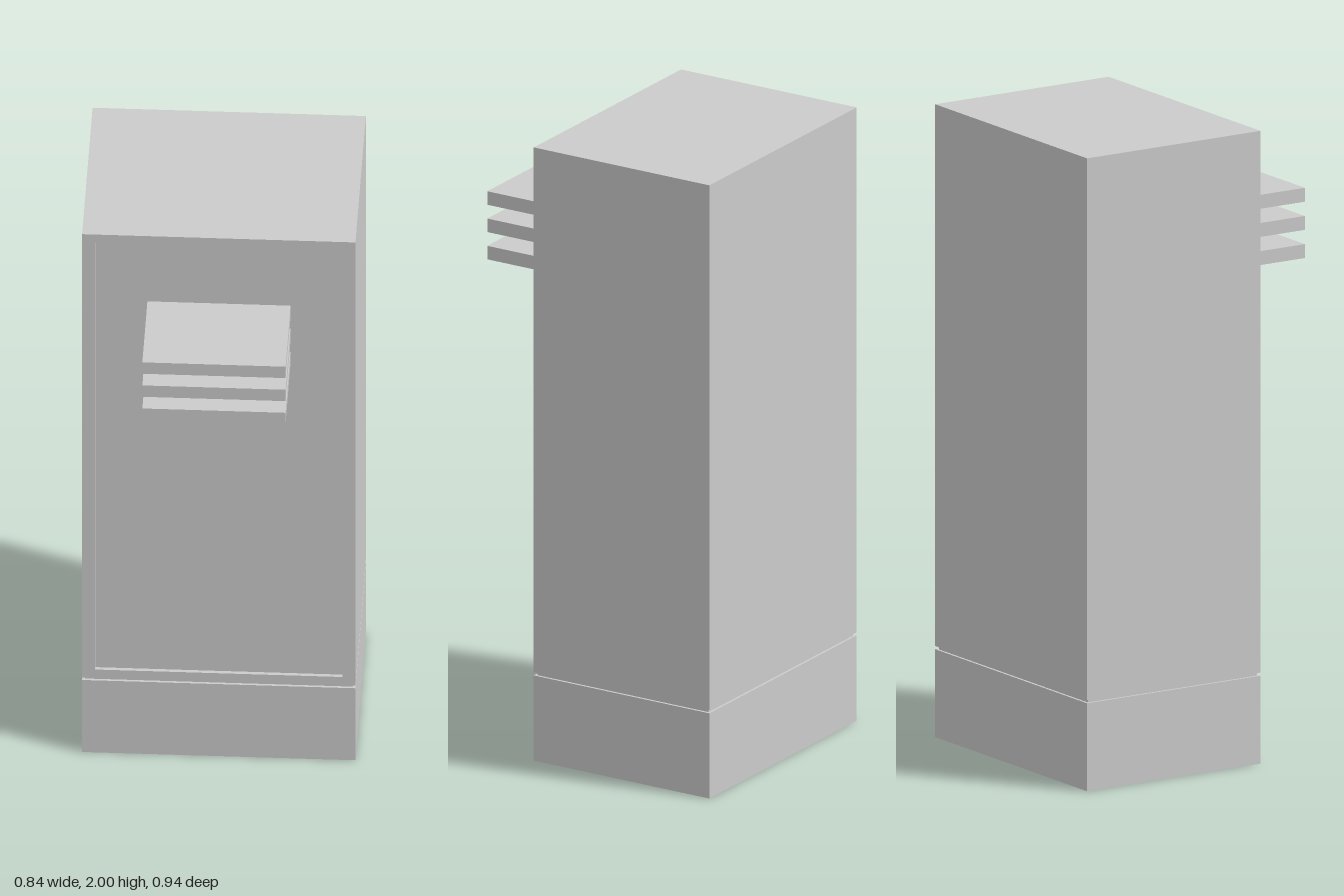
import * as THREE from 'three';

const W = 0.84, BACK = -0.47, FRONT = 0.17;
const RECESS = 0.012;

export function createModel() {
  const model = new THREE.Group();
  const material = new THREE.MeshStandardMaterial({ color: 0xcccccc, flatShading: true });

  const add = (name, geometry) => {
    const mesh = new THREE.Mesh(geometry, material);
    mesh.name = name;
    model.add(mesh);
    return mesh;
  };
  // Box given by width and its y and z ranges, centred on x
  const box = (name, w, y0, y1, z0, z1) =>
    add(name, new THREE.BoxGeometry(w, y1 - y0, z1 - z0))
      .position.set(0, (y0 + y1) / 2, (z0 + z1) / 2);

  // Base drawer and the thin shadow gap above it
  box('base', W, 0, 0.278, BACK, FRONT);
  box('shadowGap', W - 0.016, 0.278, 0.288, BACK + 0.008, FRONT - 0.008);

  // Cabinet, whose front face is the recessed door panel
  box('cabinet', W, 0.288, 2, BACK, FRONT - RECESS);

  // Frame around the door
  const rect = (path, x, y0, y1) => path
    .moveTo(-x, y0).lineTo(x, y0).lineTo(x, y1).lineTo(-x, y1).closePath();
  const outline = new THREE.Shape();
  rect(outline, W / 2, 0.288, 2);
  const opening = new THREE.Path();
  rect(opening, 0.38, 0.32, 1.968);
  outline.holes.push(opening);
  add('doorFrame', new THREE.ExtrudeGeometry(outline, { depth: RECESS, bevelEnabled: false }))
    .position.z = FRONT - RECESS;

  // Three projecting vent slats
  for (let i = 0; i < 3; i++) {
    const y = 1.517 + i * 0.089;
    box(`ventSlat${i + 1}`, 0.44, y, y + 0.044, FRONT - RECESS, 0.467);
  }
  return model;
}
